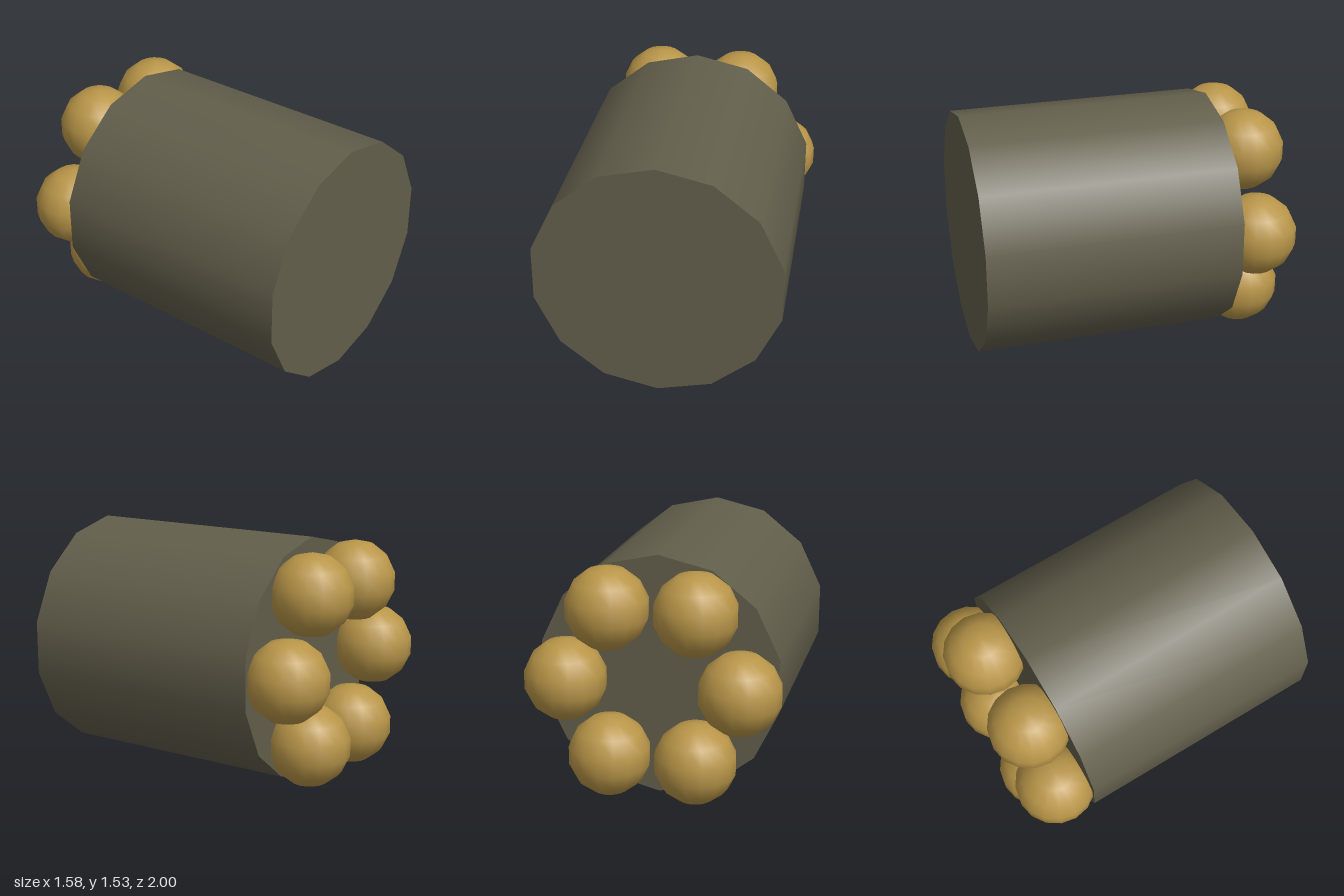
import * as THREE from 'three';

export function createModel() {
  const model = new THREE.Group();
  const drumMaterial = new THREE.MeshStandardMaterial({ color: 0x625e4b });
  drumMaterial.name = 'olive grey';
  const ballMaterial = new THREE.MeshStandardMaterial({ color: 0xb89548 });
  ballMaterial.name = 'brass';

  const radius = 0.764, front = 1, back = -0.59;

  // Fourteen-sided drum lying along z, with a corner at the top and bottom
  const drumGeometry = new THREE.CylinderGeometry(radius, radius, front - back, 14);
  drumGeometry.rotateX(Math.PI / 2);
  const drum = new THREE.Mesh(drumGeometry, drumMaterial);
  drum.name = 'drum';
  drum.position.set(0, radius, (front + back) / 2);
  model.add(drum);

  // Ring of six balls half sunk into the back face
  const balls = new THREE.Group();
  balls.name = 'ballRing';
  const ballGeometry = new THREE.SphereGeometry(0.256, 16, 7);
  for (let i = 0; i < 6; i++) {
    const angle = (i * Math.PI) / 3;
    const ball = new THREE.Mesh(ballGeometry, ballMaterial);
    ball.name = 'ball' + (i + 1);
    ball.position.set(0.54 * Math.cos(angle), radius + 0.54 * Math.sin(angle), -0.75);
    balls.add(ball);
  }
  model.add(balls);

  return model;
}
